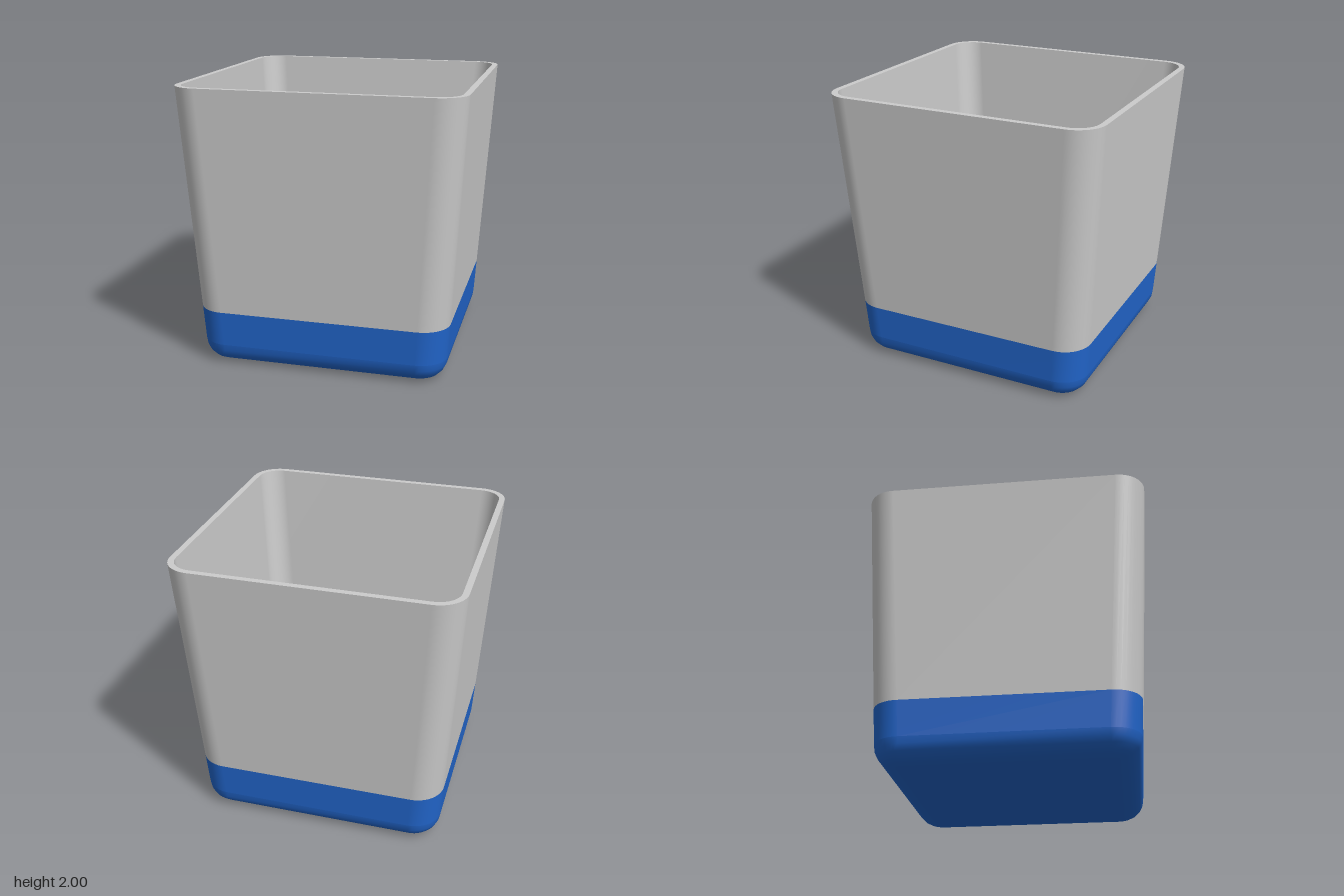
import * as THREE from 'three';
import { mergeGeometries } from 'three/addons/utils/BufferGeometryUtils.js';

const CORNER_STEPS = 10;

// Outer half width of the tapered body at height y
const halfAt = (y) => 0.88 + 0.06 * y;

// Rounded square loop, counter-clockwise seen from above
function ring([y, half, radius]) {
  const points = [];
  for (let c = 0; c < 4; c++) {
    const mid = Math.PI / 4 + c * Math.PI / 2;
    const cx = Math.sign(Math.cos(mid)) * (half - radius);
    const cz = -Math.sign(Math.sin(mid)) * (half - radius);
    for (let s = 0; s <= CORNER_STEPS; s++) {
      const a = (c + s / CORNER_STEPS) * Math.PI / 2;
      points.push(cx + radius * Math.cos(a), y, cz - radius * Math.sin(a));
    }
  }
  return points;
}

// Smooth skin through a list of [y, half width, corner radius] sections
function loft(sections) {
  const count = 4 * (CORNER_STEPS + 1);
  const index = [];
  for (let i = 0; i < sections.length - 1; i++) {
    for (let j = 0; j < count; j++) {
      const k = (j + 1) % count;
      const a = i * count + j, b = i * count + k;
      const c = b + count, d = a + count;
      if (sections[i][1] > 0) index.push(a, b, c);
      if (sections[i + 1][1] > 0) index.push(a, c, d);
    }
  }
  const geometry = new THREE.BufferGeometry();
  geometry.setAttribute('position', new THREE.Float32BufferAttribute(sections.flatMap(ring), 3));
  geometry.setIndex(index);
  geometry.computeVertexNormals();
  return geometry;
}

// Separate lofts keep a sharp edge where they meet
function part(name, color, lofts) {
  const mesh = new THREE.Mesh(
    mergeGeometries(lofts.map(loft)),
    new THREE.MeshStandardMaterial({ color })
  );
  mesh.name = name;
  return mesh;
}

export function createModel() {
  const group = new THREE.Group();
  group.name = 'planter';

  const seam = 0.4, top = 2, wall = 0.043, fillet = 0.15, corner = 0.2;
  const outerSeam = [seam, halfAt(seam), corner];
  const outerTop = [top, halfAt(top), corner];
  const innerTop = [top, halfAt(top) - wall, corner - wall];
  const innerFloor = [seam, halfAt(seam) - wall, corner - wall];

  // Pot: outer wall, flat rim, inner wall and floor
  group.add(part('pot', 0xcccccc, [
    [outerSeam, outerTop],
    [outerTop, innerTop],
    [innerTop, innerFloor],
    [innerFloor, [seam, 0, 0]],
  ]));

  // Base: flat underside, rounded bottom edge and straight band
  const edge = [];
  const steps = 5;
  for (let i = 0; i <= steps; i++) {
    const a = (i / steps) * Math.PI / 2;
    const inset = fillet * (1 - Math.sin(a));
    edge.push([fillet * (1 - Math.cos(a)), halfAt(fillet) - inset, corner - inset]);
  }
  group.add(part('base', 0x2266cc, [
    [[0, 0, 0], edge[0]],
    edge,
    [edge[steps], outerSeam],
  ]));

  return group;
}
